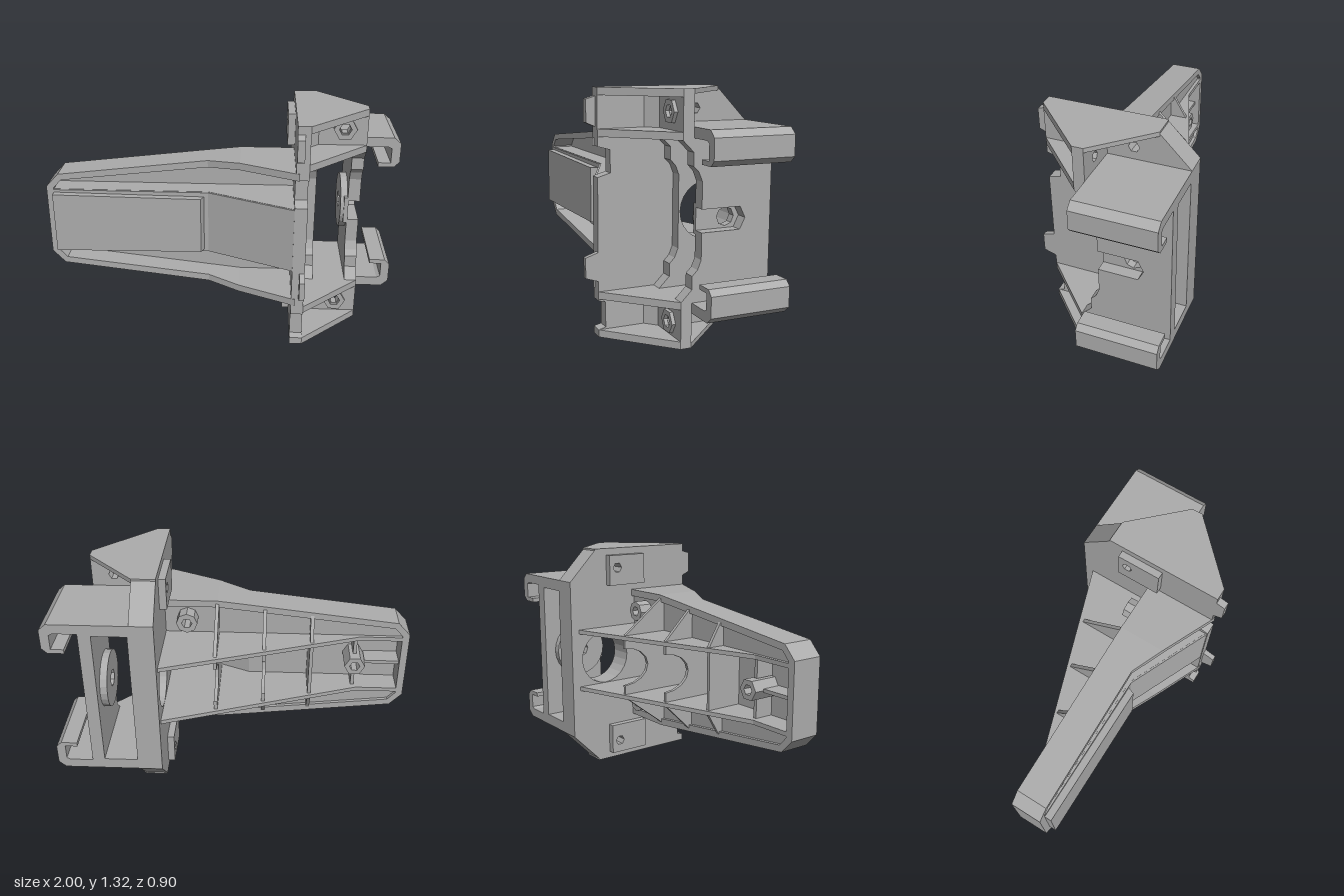
import * as THREE from 'three';

const grey = new THREE.MeshStandardMaterial({ color: 0xacacac, side: THREE.DoubleSide });
grey.name = 'grey plastic';
const H = 1.32, MID = 0.66;
const flip = (pts) => pts.map(([a, y]) => [a, H - y]);
const flare = (x) => Math.max(0, (x + 0.08) * 0.22 / 0.48);
const ribTop = (x) => -0.02 - 0.38 * Math.max(0, x + 0.72) / 1.12;

const ngon = (cx, cy, r, n) => Array.from({ length: n }, (_, i) => {
  const a = (i / n) * Math.PI * 2;
  return [cx + r * Math.cos(a), cy + r * Math.sin(a)];
});
const toV = (pts) => pts.map(([a, b]) => new THREE.Vector2(a, b));

function prism(pts, holes, depth) {
  const shape = new THREE.Shape(toV(pts));
  for (const h of holes) shape.holes.push(new THREE.Path(toV(h)));
  return new THREE.ExtrudeGeometry(shape, { depth, bevelEnabled: false });
}
// Prisms along each axis: Z takes [x, y], X takes [z, y], Y takes [x, z]
const alongZ = (pts, z0, z1, holes = []) => prism(pts, holes, z1 - z0).translate(0, 0, z0);
const alongX = (pts, x0, x1, holes = []) => {
  const f = (l) => l.map(([z, y]) => [-z, y]);
  return prism(f(pts), holes.map(f), x1 - x0).rotateY(Math.PI / 2).translate(x0, 0, 0);
};
const alongY = (pts, y0, y1) =>
  prism(pts.map(([x, z]) => [x, -z]), [], y1 - y0).rotateX(-Math.PI / 2).translate(0, y0, 0);

// Push front vertices forward where the arm thickens toward its root
function flareFront(geo) {
  const p = geo.attributes.position;
  for (let i = 0; i < p.count; i++) {
    if (p.getZ(i) > 0.1) p.setZ(i, p.getZ(i) + flare(p.getX(i)));
  }
  geo.computeVertexNormals();
  return geo;
}

export function createModel() {
  const model = new THREE.Group();
  const add = (parent, name, geo) => {
    const mesh = new THREE.Mesh(geo, grey);
    mesh.name = name;
    parent.add(mesh);
  };
  const group = (name) => {
    const g = new THREE.Group();
    g.name = name;
    model.add(g);
    return g;
  };

  // Arm: outer wall, built segment by segment
  const arm = group('arm');
  const upper = [[0.42, 1.06], [0.1, 1.06], [-0.08, 1.04], [-0.93, 0.94], [-1, 0.865]];
  const innerUp = [[0.42, 1.02], [0.1, 1.02], [-0.08, 1.0], [-0.915, 0.905], [-0.96, 0.855]];
  const outline = [...upper, ...flip(upper).reverse()];
  const inner = [...innerUp, ...flip(innerUp).reverse()];
  for (let i = 0; i < outline.length - 1; i++) {
    const seg = [outline[i], outline[i + 1], inner[i + 1], inner[i]];
    add(arm, 'armWall', flareFront(alongZ(seg, -0.02, 0.16)));
  }
  // Arm: recessed side channels either side of a raised, flaring spine
  const channel = [...innerUp, [-0.96, 0.835], [0.42, 0.835]];
  const bolt = ngon(0.27, 0.945, 0.03, 6);
  for (const f of [(p) => p, flip]) {
    add(arm, 'channelFloor', alongZ(f(channel), 0.0, 0.03, [f(bolt)]));
    add(arm, 'screwBoss', alongZ(f(ngon(0.27, 0.945, 0.06, 8)), -0.08, 0.02, [f(bolt)]));
  }
  add(arm, 'spineFront', alongY([[-0.97, 0.16], [-0.08, 0.16], [0.41, 0.38],
    [0.41, 0.34], [-0.08, 0.12], [-0.97, 0.12]], 0.475, 0.845));
  add(arm, 'frontPad', alongZ([[-0.96, 0.48], [-0.12, 0.49], [-0.12, 0.82], [-0.96, 0.83]], 0.14, 0.2));
  add(arm, 'padEnd', alongY([[-0.12, 0.2], [-0.1, 0.15], [-0.12, 0.15]], 0.49, 0.82));

  // Arm: lengthwise ribs forming the sides of the spine
  for (const y of [0.485, 0.835]) {
    add(arm, 'longRib', alongY([[-0.97, -0.02], [-0.72, -0.02], [0.41, ribTop(0.41)],
      [0.41, 0.37], [-0.08, 0.15], [-0.97, 0.15]], y - 0.012, y + 0.012));
  }
  // Arm: cross ribs with side gussets, the inner two arched
  for (const x of [-0.44, -0.17, 0.1]) {
    const top = ribTop(x), floor = 0.13 + flare(x);
    const edge = MID + 0.26 + 0.12 * (x + 0.93) / 1.03;
    const gusset = [[0.01, 0.835], [top + 0.01, 0.835], [-0.02, edge], [0.01, edge]];
    for (const pts of [gusset, flip(gusset)]) add(arm, 'gusset', alongX(pts, x - 0.01, x + 0.01));
    const arch = x < -0.3 ? [] : ngon(0, 0, 1, 16).slice(0, 9).reverse()
      .map(([c, s]) => [top + 0.02 + s * 0.16, MID + c * 0.11]);
    add(arm, 'crossRib', alongX([[floor, 0.485], [top + 0.02, 0.485], ...arch,
      [top + 0.02, 0.835], [floor, 0.835]], x - 0.01, x + 0.01));
  }
  // Arm: boss near the tip with its stiffeners
  add(arm, 'tipBoss', alongZ(ngon(-0.7, MID, 0.06, 6), -0.045, 0.13, [ngon(-0.7, MID, 0.03, 6)]));
  for (const y of [0.545, 0.775]) {
    add(arm, 'tipBossWeb', new THREE.BoxGeometry(0.02, 0.12, 0.12).translate(-0.7, y, 0.07));
  }
  add(arm, 'tipBossFin', new THREE.BoxGeometry(0.2, 0.02, 0.12).translate(-0.86, MID, 0.07));

  // Mounting plate with chamfered rear corners, notches and a round opening
  const mount = group('mount');
  const bigHole = ngon(-0.22, MID, 0.16, 24);
  const sideHole = ngon(-0.145, 1.205, 0.03, 6);
  add(mount, 'mountPlate', alongX([
    [0.38, 0], [0.38, 0.04], [0.34, 0.05], [0.34, 0.19], [0.38, 0.2],
    [0.38, 0.86], [0.31, 0.88], [0.31, 1.0], [0.38, 1.02], [0.38, H],
    [-0.27, H], [-0.45, 1.135], [-0.45, 0.185], [-0.27, 0],
  ], 0.4, 0.47, [bigHole, sideHole, flip(sideHole)]));
  add(mount, 'upperTab', alongX([[0.36, 1.11], [0.43, 1.14], [0.43, 1.26], [0.36, 1.28]], 0.4, 0.44));
  add(mount, 'lowerTab', alongX([[0.36, 0.3], [0.45, 0.33], [0.45, 0.44], [0.36, 0.47]], 0.44, 0.47));

  // Webs of the hollow rail, with scalloped front edges
  const rail = group('rail');
  const low = [[0.06, 0.2], [0.06, 0.25], [0, 0.31], [0, 0.38], [-0.03, 0.41], [-0.05, 0.46]];
  const high = flip(low).reverse();
  const back = [[-0.45, 1.12], [-0.45, 0.2]];
  add(rail, 'innerWeb', alongX([...low, ...high, ...back], 0.46, 0.54, [bigHole]));
  const slot = [[-0.05, 0.6], [-0.27, 0.6], [-0.3, MID], [-0.27, 0.72], [-0.05, 0.72]];
  add(rail, 'outerWeb', alongX([...low, ...slot, ...high, ...back], 0.73, 0.8));
  add(rail, 'nutBoss', alongX(ngon(-0.22, MID, 0.165, 24), 0.69, 0.735, [ngon(-0.22, MID, 0.05, 8)]));
  add(rail, 'nutSlotFloor', alongX([[-0.05, 0.58], [-0.05, 0.74], [-0.15, 0.74], [-0.15, 0.58]], 0.71, 0.735));

  // Rail flanges ending in hooks
  const hook = [[0.4, 1.135], [0.96, 1.135], [1, 1.1], [1, 0.99], [0.97, 0.96], [0.88, 0.96],
    [0.88, 0.985], [0.95, 0.985], [0.95, 1.07], [0.93, 1.08], [0.8, 1.08], [0.8, 1.07], [0.4, 1.07]];
  for (const pts of [hook, flip(hook)]) add(rail, 'hookFlange', alongZ(pts, -0.45, 0));

  // Upper and lower ears: caps, two bolted walls meeting in a corner, and a side block
  const frontCap = [[0.4, 0.38], [0.47, 0.38], [0.8, 0.06], [0.8, 0], [0.4, 0]];
  const rearCap = [[0.4, 0], [0.8, 0], [0.53, -0.28], [0.4, -0.28]];
  for (const top of [true, false]) {
    const ear = group(top ? 'upperEar' : 'lowerEar');
    const m = (pts) => (top ? pts : flip(pts));
    const span = (a, b) => (top ? [a, b] : [H - b, H - a]);
    add(ear, 'outerCap', alongY(frontCap, ...span(1.28, H)));
    add(ear, 'rearCap', alongY(rearCap, ...span(1.295, H)));
    add(ear, 'innerCap', alongY(frontCap, ...span(1.07, 1.11)));
    add(ear, 'crossWall', alongZ(m([[0.4, 1.07], [0.8, 1.07], [0.8, H], [0.4, H]]), 0, 0.06,
      [m(ngon(0.675, 1.205, 0.03, 6))]));
    add(ear, 'boltBoss', alongZ(m(ngon(0.675, 1.205, 0.065, 6)), 0.055, 0.08,
      [m(ngon(0.675, 1.205, 0.035, 6))]));
    add(ear, 'sideWall', alongX(m([[0.06, 1.08], [0.06, H], [-0.27, H], [-0.45, 1.135], [-0.45, 1.08]]),
      0.4, 0.53, [m(sideHole)]));
    add(ear, 'cornerFillet', alongY([[0.46, 0.13], [0.53, 0.06], [0.46, 0.06]], ...span(1.08, 1.3)));
    add(ear, 'sideBlock', alongX(m([[0.05, 1.1], [0.05, 1.28], [-0.2, 1.28], [-0.2, 1.1]]),
      0.36, 0.41, [m(sideHole)]));
  }
  return model;
}
